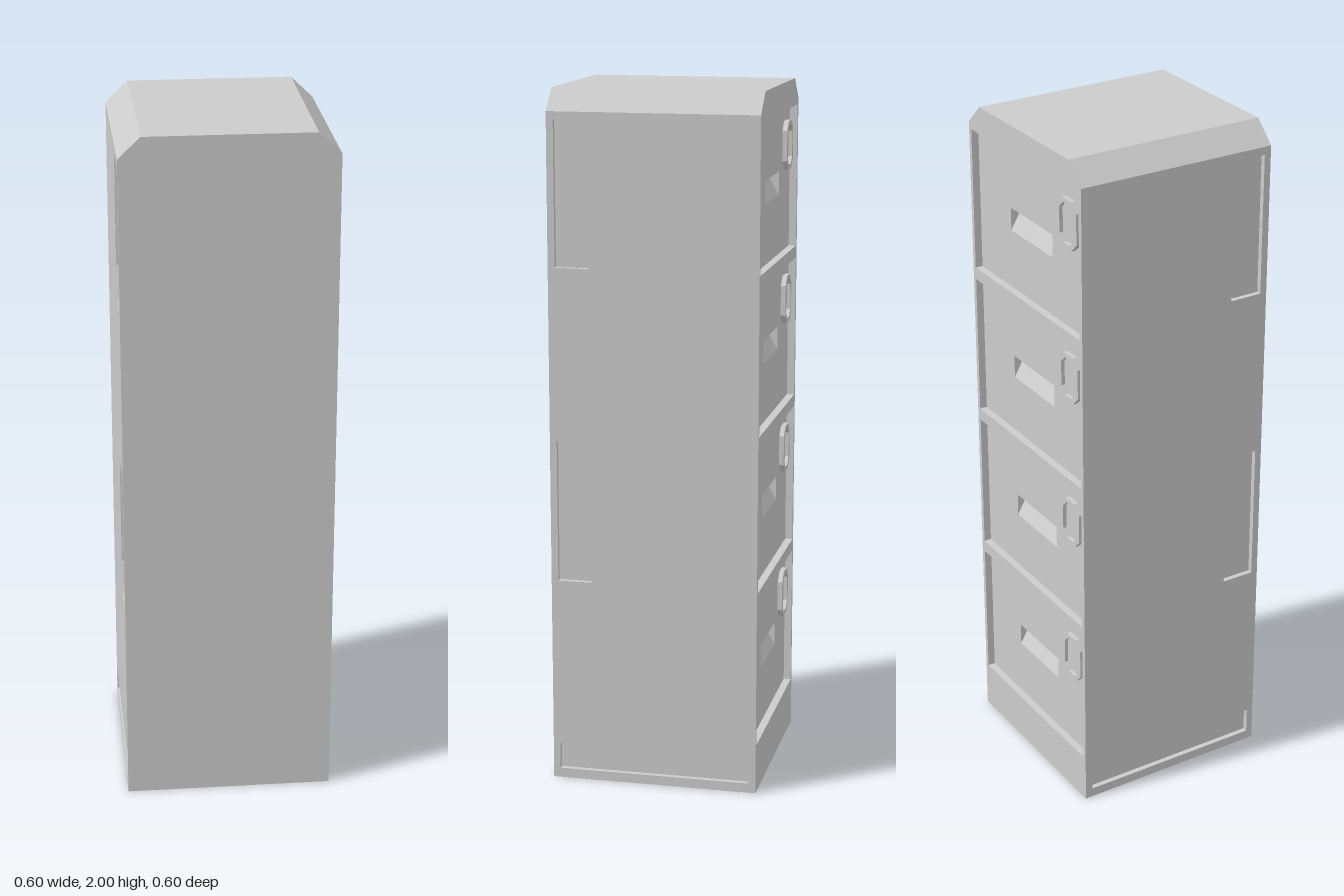
import * as THREE from 'three';

const material = new THREE.MeshStandardMaterial({ color: 0xcccccc });
const HALF = 0.3, TOP = 2, SHOULDER = 1.94, ROOF = 0.237;
const PITCH = 0.4533; // spacing of the drawers

function mesh(name, positions) {
  const g = new THREE.BufferGeometry();
  g.setAttribute('position', new THREE.Float32BufferAttribute(positions, 3));
  g.computeVertexNormals();
  const m = new THREE.Mesh(g, material);
  m.name = name;
  return m;
}

// Two triangles, corners counter-clockwise from outside
const quad = (a, b, c, d) => [a, b, c, a, c, d].flat();

const rect = (x0, y0, x1, y1) => [[x0, y0], [x1, y0], [x1, y1], [x0, y1]];

// Rectangle with its four corners cut off
function cutRect(cx, cy, w, h, c) {
  const x = w / 2, y = h / 2;
  return [[x - c, -y], [x, c - y], [x, y - c], [x - c, y], [c - x, y], [-x, y - c], [-x, c - y], [c - x, -y]]
    .map(([px, py]) => [cx + px, cy + py]);
}

// A face looking along +z at level z, with holes for its children. Its edge
// walls reach back to the parent level, so it may be sunken or raised.
// slant lets a sunken floor ramp up to the parent level at its lower edge.
function panel({ name, outline, z = 0, slant = false, children = [] }, parentZ = z) {
  const group = new THREE.Group();
  group.name = name;
  const pts = outline.map(([x, y]) => new THREE.Vector2(x, y));
  if (THREE.ShapeUtils.isClockWise(pts)) pts.reverse();
  const ys = pts.map((p) => p.y), low = Math.min(...ys), high = Math.max(...ys);
  const level = (y) => (slant ? parentZ + (z - parentZ) * (y - low) / (high - low) : z);

  const shape = new THREE.Shape(pts);
  for (const c of children) {
    shape.holes.push(new THREE.Path(c.outline.map(([x, y]) => new THREE.Vector2(x, y))));
  }
  const flat = new THREE.ShapeGeometry(shape).toNonIndexed().getAttribute('position');
  const positions = [];
  for (let i = 0; i < flat.count; i++) {
    positions.push(flat.getX(i), flat.getY(i), level(flat.getY(i)));
  }
  if (parentZ !== z) {
    pts.forEach((a, i) => {
      const b = pts[(i + 1) % pts.length];
      positions.push(...quad([a.x, a.y, parentZ], [b.x, b.y, parentZ], [b.x, b.y, level(b.y)], [a.x, a.y, level(a.y)]));
    });
  }
  group.add(mesh(name + 'Surface', positions));
  for (const c of children) group.add(panel(c, z));
  return group;
}

// Sunken drawer front with a ramped finger slot and a raised lock surround
function drawer(i) {
  const top = 1.92 - i * PITCH, lockY = top - 0.11;
  return {
    name: 'drawer' + (i + 1), outline: rect(-0.287, top - 0.417, 0.287, top), z: -0.022,
    children: [
      { name: 'fingerSlot', outline: rect(-0.112, top - 0.245, 0.112, top - 0.178), z: -0.06, slant: true },
      {
        name: 'lockSurround', outline: cutRect(0.211, lockY, 0.1, 0.14, 0.026), z: -0.008,
        children: [{ name: 'lockFace', outline: cutRect(0.211, lockY, 0.074, 0.114, 0.02), z: -0.019 }],
      },
    ],
  };
}

// Side wall with two grips and a kick recess; s = 1 for +x, -1 for -x
function side(s) {
  const place = (pts) => pts.map(([z, y]) => [-s * z, y]);
  const grip = (top, n) => ({
    name: 'sideGrip' + n, z: -0.015,
    outline: place([[0.28, top], [0.148, top], [0.148, top - 0.32], [0.183, top - 0.41], [0.28, top - 0.41]]),
  });
  const wall = panel({
    name: s > 0 ? 'leftSide' : 'rightSide',
    outline: rect(-HALF, 0, HALF, SHOULDER),
    children: [
      grip(1.917, 1), grip(1.01, 2),
      { name: 'kickRecess', outline: place(rect(-0.277, 0.028, 0.28, 0.105)), z: -0.015 },
    ],
  });
  wall.rotation.y = s * Math.PI / 2;
  wall.position.x = s * HALF;
  return wall;
}

export function createModel() {
  const model = new THREE.Group();
  model.name = 'drawerCabinet';
  const roof = [[HALF, SHOULDER], [ROOF, TOP], [-ROOF, TOP], [-HALF, SHOULDER]];
  const profile = [[-HALF, 0], [HALF, 0], ...roof];

  // Plain front
  const front = panel({ name: 'frontFace', outline: profile });
  front.position.z = HALF;
  model.add(front);

  // Back with the stack of four drawers
  const back = panel({ name: 'drawerFace', outline: profile, children: [0, 1, 2, 3].map(drawer) });
  back.rotation.y = Math.PI;
  back.position.z = -HALF;
  model.add(back);

  model.add(side(1), side(-1));

  // Bevelled roof and the base
  const strip = (name, [ax, ay], [bx, by]) =>
    mesh(name, quad([ax, ay, HALF], [ax, ay, -HALF], [bx, by, -HALF], [bx, by, HALF]));
  ['leftBevel', 'roof', 'rightBevel'].forEach((name, i) => model.add(strip(name, roof[i], roof[i + 1])));
  model.add(strip('base', [-HALF, 0], [HALF, 0]));
  return model;
}
